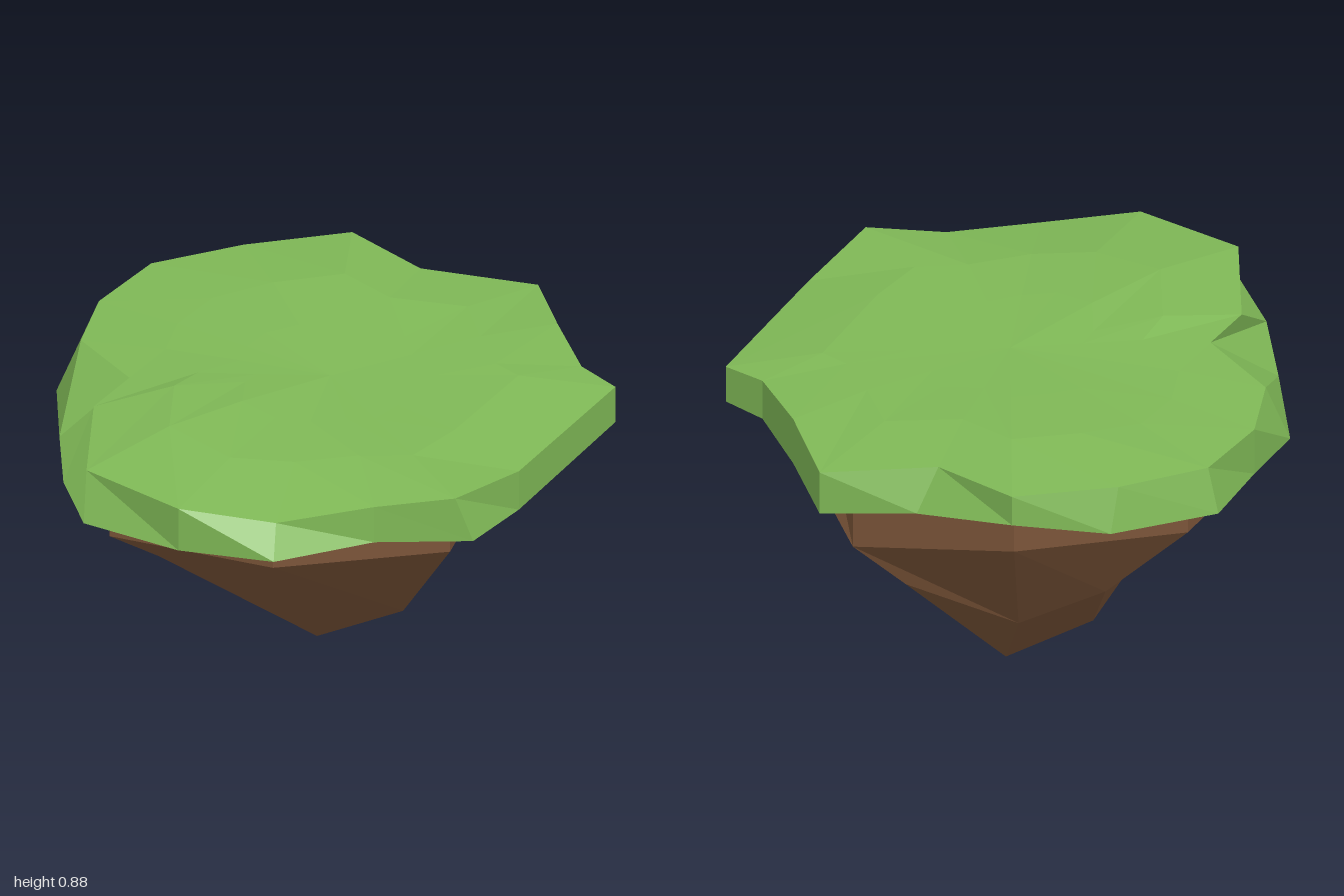
import * as THREE from 'three';

// Skins closed rings (bottom to top, counterclockwise from above) and caps both ends with fans.
function loft(name, color, bottomCentre, rings, topCentre) {
  const pos = [];
  const tri = (...corners) => {
    const [a, b, c] = corners.map((p) => new THREE.Vector3(...p));
    const area = b.clone().sub(a).cross(c.clone().sub(a)).length();
    if (area > 1e-6) corners.forEach((p) => pos.push(...p));
  };
  const n = rings[0].length;
  const last = rings[rings.length - 1];
  for (let i = 0; i < n; i++) {
    const j = (i + 1) % n;
    tri(rings[0][j], rings[0][i], bottomCentre);
    for (let r = 0; r < rings.length - 1; r++) {
      const lo = rings[r], hi = rings[r + 1];
      tri(lo[i], lo[j], hi[i]);
      tri(lo[j], hi[j], hi[i]);
    }
    tri(last[i], last[j], topCentre);
  }
  const geometry = new THREE.BufferGeometry();
  geometry.setAttribute('position', new THREE.Float32BufferAttribute(pos, 3));
  geometry.computeVertexNormals();
  const mesh = new THREE.Mesh(geometry, new THREE.MeshStandardMaterial({ color, flatShading: true }));
  mesh.name = name;
  return mesh;
}

// Gentle swell of the turf surface
function turfHeight(x, z) {
  const hump = (cx, cz, h) => h * Math.exp(-((x - cx) ** 2 + (z - cz) ** 2) / 0.08);
  return 0.843 + hump(-0.39, 0.35, 0.04) + hump(-0.05, -0.58, 0.03) + hump(0.42, -0.3, 0.006);
}

function grassCap() {
  // Lower and upper edges of the turf, starting at the front
  const lower = [
    [-0.05, 0.70, 1.0], [0.22, 0.70, 0.83], [0.50, 0.70, 0.79], [0.60, 0.68, 0.51], [0.81, 0.70, -0.09],
    [0.70, 0.70, -0.20], [0.60, 0.69, -0.47], [0.51, 0.68, -0.78], [0.23, 0.71, -0.83], [-0.05, 0.76, -1.0],
    [-0.33, 0.71, -0.94], [-0.63, 0.70, -0.77], [-0.72, 0.69, -0.48], [-0.81, 0.67, -0.20],
    [-0.76, 0.69, 0.17], [-0.71, 0.70, 0.51], [-0.62, 0.70, 0.79], [-0.33, 0.70, 0.95],
  ];
  const upper = [
    [-0.05, 0.795, 0.94], [0.22, 0.81, 0.83], [0.45, 0.835, 0.80], [0.60, 0.80, 0.51], [0.81, 0.81, -0.09],
    [0.70, 0.82, -0.20], [0.60, 0.83, -0.47], [0.51, 0.81, -0.78], [0.17, 0.84, -0.79], [-0.05, 0.85, -1.0],
    [-0.35, 0.84, -0.90], [-0.60, 0.835, -0.75], [-0.72, 0.83, -0.48], [-0.74, 0.83, -0.20],
    [-0.57, 0.84, 0.07], [-0.65, 0.835, 0.27], [-0.62, 0.835, 0.72], [-0.33, 0.83, 0.95],
  ];
  const inner = (s) => upper.map(([x, , z]) => [x * s, turfHeight(x * s, z * s), z * s]);
  return loft('grassCap', 0x7fb856, [-0.05, 0.69, 0], [lower, upper, inner(0.66), inner(0.36)],
    [0, turfHeight(0, 0), 0]);
}

function rockBase() {
  // Two hanging peaks joined by a saddle, with a shoulder and a lesser tip on the back one
  const frontPeak = [-0.01, 0.14, 0.25];
  const backPeak = [0, 0, -0.28];
  const shoulder = [0.23, 0.22, -0.23];
  const sidePeak = [-0.25, 0.12, -0.28];
  const saddleLeft = [0.03, 0.24, 0.02];
  const saddleRight = [-0.11, 0.26, 0.02];
  const tips = [frontPeak, frontPeak, saddleLeft, shoulder, backPeak, backPeak,
    sidePeak, sidePeak, saddleRight, frontPeak];
  // Sloping middle ring
  const slope = [
    [-0.07, 0.35, 0.53], [0.25, 0.28, 0.36], [0.32, 0.43, 0.1], [0.33, 0.42, -0.45], [0.27, 0.39, -0.63],
    [-0.05, 0.25, -0.58], [-0.3, 0.37, -0.61], [-0.42, 0.36, -0.2], [-0.2, 0.46, 0.06], [-0.46, 0.49, 0.5],
  ];
  // Rim of the upright band below the turf
  const rim = [
    [-0.07, 0.61, 0.84], [0.42, 0.61, 0.67], [0.42, 0.50, 0.2], [0.59, 0.60, -0.2], [0.42, 0.53, -0.68],
    [-0.05, 0.61, -0.86], [-0.54, 0.61, -0.71], [-0.74, 0.61, -0.2], [-0.6, 0.54, 0.3], [-0.56, 0.61, 0.67],
  ];
  const top = rim.map(([x, , z]) => [THREE.MathUtils.clamp(x, -0.63, 0.52), 0.72, z]);
  return loft('rockBase', 0x7a5438, saddleRight, [tips, slope, rim, top], [0, 0.72, 0]);
}

export function createModel() {
  const island = new THREE.Group();
  island.name = 'floatingIsland';
  island.add(grassCap(), rockBase());
  return island;
}
